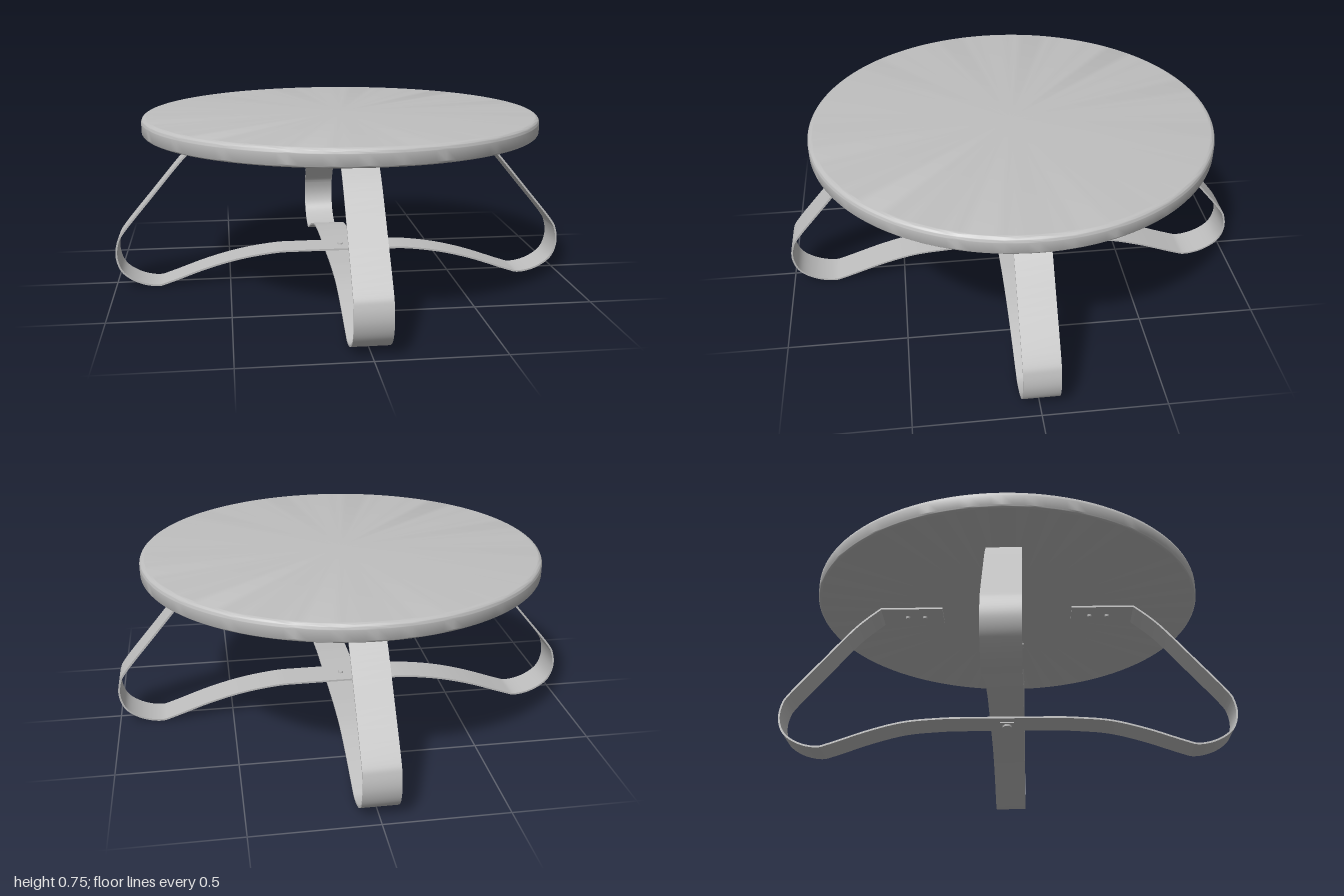
import * as THREE from 'three';
import { toCreasedNormals } from 'three/addons/utils/BufferGeometryUtils.js';

const STRAP_WIDTH = 0.148;
const STRAP_THICKNESS = 0.008;
const TOP_RADIUS = 0.861;
const TOP_BOTTOM = 0.685;
const TOP_HEIGHT = 0.76;

// Round disc with softened rims
function tabletopGeometry() {
  const profile = new THREE.Path();
  const low = 0.015, high = 0.022;
  profile.moveTo(0, TOP_BOTTOM);
  profile.lineTo(TOP_RADIUS - low, TOP_BOTTOM);
  profile.absarc(TOP_RADIUS - low, TOP_BOTTOM + low, low, -Math.PI / 2, 0, false);
  profile.lineTo(TOP_RADIUS, TOP_HEIGHT - high);
  profile.absarc(TOP_RADIUS - high, TOP_HEIGHT - high, high, 0, Math.PI / 2, false);
  profile.lineTo(0, TOP_HEIGHT);
  return toCreasedNormals(new THREE.LatheGeometry(profile.getPoints(6), 128), 0.6);
}

// Bent flat strap: pad, sloping leg, rounded foot, arch, and the same mirrored
function strapGeometry(archY) {
  const padY = TOP_BOTTOM - STRAP_THICKNESS / 2;
  const bend = new THREE.SplineCurve([
    [0.575, padY], [0.64, 0.627], [0.705, 0.562], [0.83, 0.413], [0.955, 0.262],
    [0.985, 0.207], [0.991, 0.14], [0.965, 0.075], [0.9, 0.03], [0.822, 0.012],
    [0.76, 0.027], [0.6, 0.083], [0.45, 0.122], [0.3, archY - 0.003], [0.2, archY], [0, archY],
  ].map(([x, y]) => new THREE.Vector2(x, y)));
  const half = [new THREE.Vector2(0.295, padY), ...bend.getPoints(90)];
  const line = [...half, ...half.slice(0, -1).reverse().map(p => new THREE.Vector2(-p.x, p.y))];

  const offset = side => line.map((p, i) => {
    const a = line[Math.max(i - 1, 0)];
    const b = line[Math.min(i + 1, line.length - 1)];
    const d = b.clone().sub(a).normalize();
    return new THREE.Vector2(p.x - d.y * side, p.y + d.x * side);
  });
  const h = STRAP_THICKNESS / 2;
  const shape = new THREE.Shape([...offset(h), ...offset(-h).reverse()]);
  const geometry = new THREE.ExtrudeGeometry(shape, { depth: STRAP_WIDTH, bevelEnabled: false });
  geometry.translate(0, 0, -STRAP_WIDTH / 2);
  return toCreasedNormals(geometry, 0.5);
}

export function createModel() {
  const model = new THREE.Group();
  model.name = 'roundTable';
  const grey = new THREE.MeshStandardMaterial({ color: 0xbfbfbf });
  grey.name = 'light grey';

  const add = (parent, name, geometry, x = 0, y = 0, z = 0) => {
    const mesh = new THREE.Mesh(geometry, grey);
    mesh.name = name;
    mesh.position.set(x, y, z);
    parent.add(mesh);
    return mesh;
  };

  add(model, 'tabletop', tabletopGeometry());

  // Two crossing straps, one resting on the other, each with screws in its pads
  const screw = new THREE.CylinderGeometry(0.011, 0.009, 0.01, 16);
  [['sideStrap', 0.147, 0], ['frontBackStrap', 0.139, Math.PI / 2]].forEach(([name, archY, turn]) => {
    const frame = new THREE.Group();
    frame.name = name + 'Frame';
    frame.rotation.y = turn;
    add(frame, name, strapGeometry(archY));
    for (const x of [-0.46, -0.38, 0.38, 0.46]) {
      add(frame, 'padScrew', screw, x, 0.672, 0);
    }
    model.add(frame);
  });

  // Bolt through the crossing with a washer and nut underneath
  add(model, 'crossBolt', new THREE.CylinderGeometry(0.011, 0.012, 0.008, 16), 0, 0.154, 0);
  add(model, 'crossWasher', new THREE.BoxGeometry(0.06, 0.005, 0.06), 0, 0.133, 0);
  add(model, 'crossNut', new THREE.CylinderGeometry(0.02, 0.02, 0.01, 6), 0, 0.127, 0);

  return model;
}
